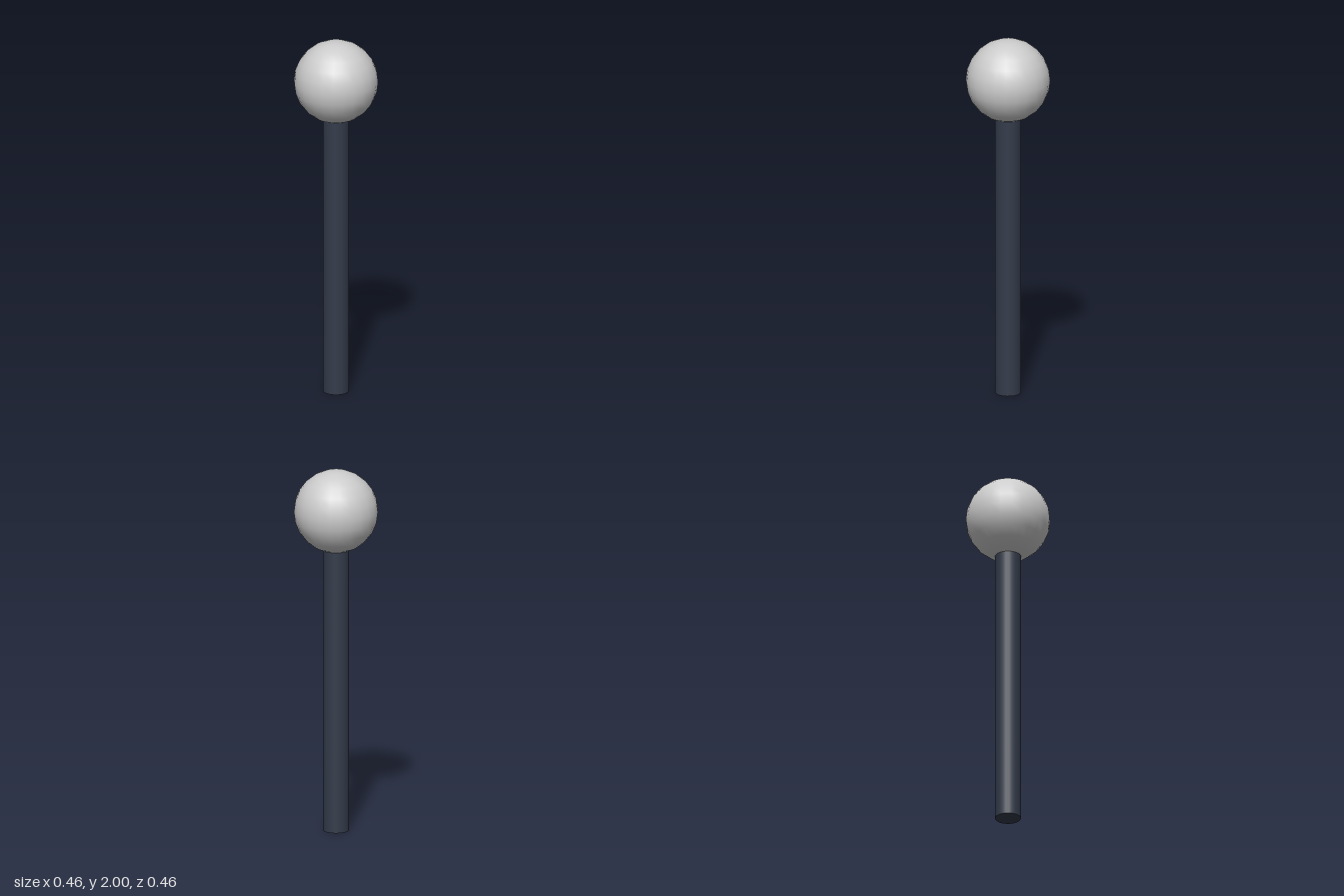
import * as THREE from 'three';

const BALL_RADIUS = 0.228;
const ROD_RADIUS = 0.07;
const ROD_HEIGHT = 1.57; // reaches just inside the ball

export function createModel() {
  const group = new THREE.Group();
  const add = (name, geometry, color, y) => {
    const mesh = new THREE.Mesh(geometry, new THREE.MeshStandardMaterial({ color }));
    mesh.name = name;
    mesh.position.y = y;
    group.add(mesh);
  };

  // Straight upright rod with closed ends
  add('rod', new THREE.CylinderGeometry(ROD_RADIUS, ROD_RADIUS, ROD_HEIGHT, 24), 0x333b4a, ROD_HEIGHT / 2);

  // Ball knob resting on top of the rod
  add('ball', new THREE.SphereGeometry(BALL_RADIUS, 24, 12), 0xcccccc, 2 - BALL_RADIUS);

  return group;
}
